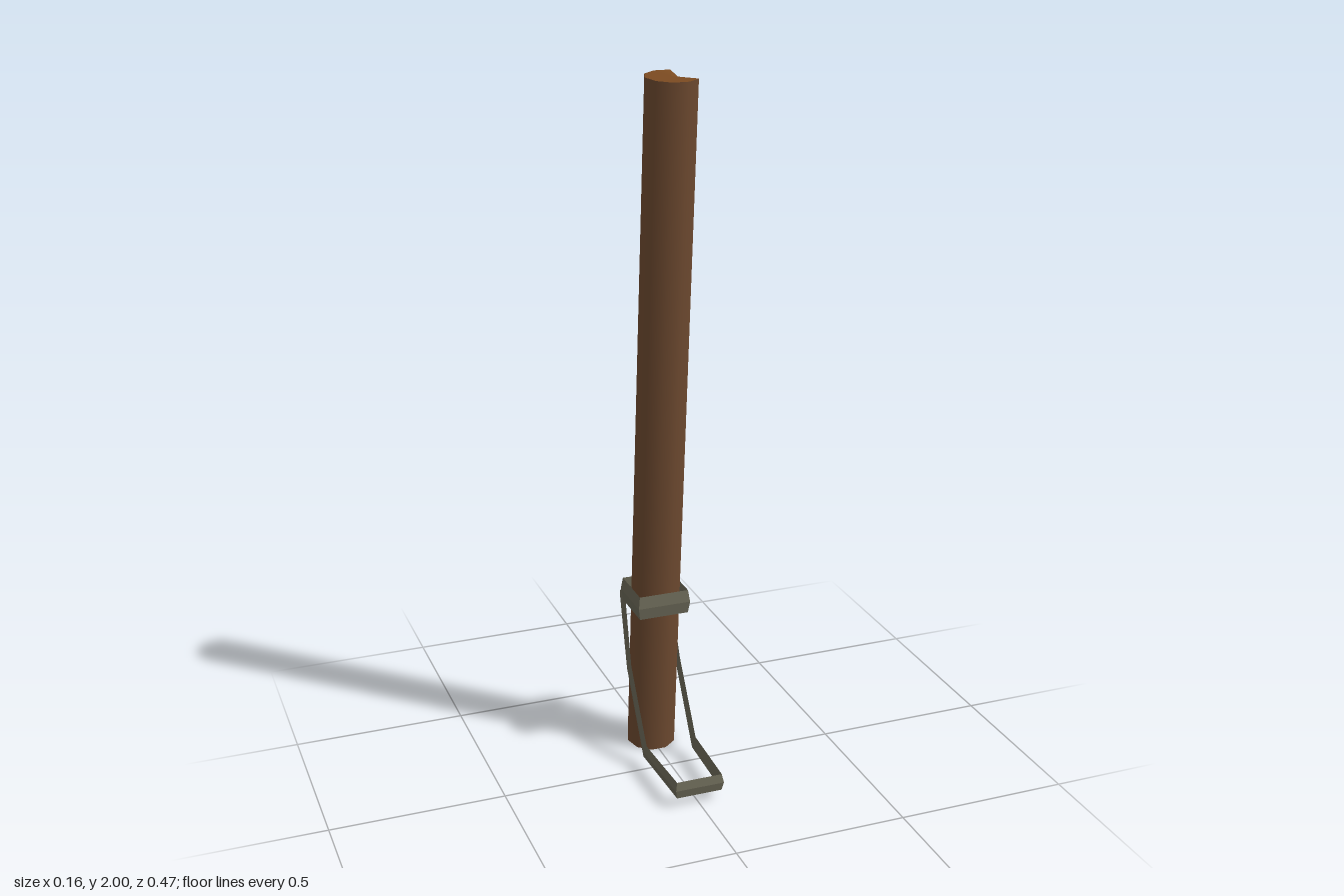
import * as THREE from 'three';

const wood = new THREE.MeshStandardMaterial({ color: 0x6e4a30 });
wood.name = 'wood';
const cutWood = new THREE.MeshStandardMaterial({ color: 0x7a4a20 });
cutWood.name = 'cut wood';
const metal = new THREE.MeshStandardMaterial({ color: 0x6b6857, flatShading: true, side: THREE.DoubleSide });
metal.name = 'dull metal';

// Closed strap with a ridge along its outside.
// Each station: lower edge, upper edge, and offset of the ridge from their middle.
function strap(name, stations) {
  const sections = stations.map(([lo, hi, out]) => {
    const a = new THREE.Vector3(...lo), c = new THREE.Vector3(...hi);
    return [a, a.clone().lerp(c, 0.5).add(new THREE.Vector3(...out)), c];
  });
  const pos = [];
  sections.forEach((s, i) => {
    const n = sections[(i + 1) % sections.length];
    for (let j = 0; j < 3; j++) {
      const k = (j + 1) % 3;
      for (const p of [s[j], n[j], n[k], s[j], n[k], s[k]]) pos.push(p.x, p.y, p.z);
    }
  });
  const geo = new THREE.BufferGeometry();
  geo.setAttribute('position', new THREE.Float32BufferAttribute(pos, 3));
  geo.computeVertexNormals();
  const mesh = new THREE.Mesh(geo, metal);
  mesh.name = name;
  return mesh;
}

// Completes a half loop (front to back on the +x side) with its mirror image.
function mirrored(half) {
  const flip = ([x, y, z]) => [-x, y, z];
  return [...half, ...half.map((s) => s.map(flip)).reverse()];
}

// Leaning ten-sided pole with a chipped top rim
function makePole() {
  const length = 1.995, sides = 10;
  const geo = new THREE.CylinderGeometry(0.072, 0.072, length, sides, 1, false, Math.PI / 10);
  const p = geo.attributes.position;
  for (let i = 0; i < p.count; i++) {
    const x = p.getX(i), z = p.getZ(i);
    if (p.getY(i) > 0 && x > 0.05 && z < 0.01) p.setY(i, length / 2 - (z < -0.01 ? 0.035 : 0.026));
  }
  // refresh the cap normals, keep the round side normals
  const round = geo.attributes.normal.clone();
  geo.computeVertexNormals();
  for (let i = 0; i < 2 * (sides + 1); i++) {
    geo.attributes.normal.setXYZ(i, round.getX(i), round.getY(i), round.getZ(i));
  }
  const pole = new THREE.Mesh(geo, [wood, cutWood, wood]);
  pole.name = 'pole';
  pole.position.set(0, 1, -0.078);
  pole.rotation.x = THREE.MathUtils.degToRad(5);
  return pole;
}

export function createModel() {
  const group = new THREE.Group();
  group.name = 'poleInBracket';
  group.add(makePole());

  // Square collar around the pole
  const t = 0.005;
  group.add(strap('collar', mirrored([
    [[0.073, 0.455, -0.05], [0.073, 0.525, -0.05], [t, 0, t]],
    [[0.073, 0.455, -0.196], [0.073, 0.525, -0.196], [t, 0, -t]],
  ])));

  // Bent stirrup: flat foot, knee, sloping legs and a bar behind the collar
  group.add(strap('stirrup', mirrored([
    [[0.067, 0.03, 0.231], [0.067, 0.08, 0.231], [t, 0, t]],
    [[0.076, 0.03, -0.02], [0.076, 0.078, 0.008], [t, 0, 0]],
    [[0.076, 0.25, -0.158], [0.076, 0.275, -0.12], [t, 0, 0]],
    [[0.069, 0.452, -0.235], [0.069, 0.495, -0.195], [t, 0.003, -0.003]],
  ])));
  return group;
}
